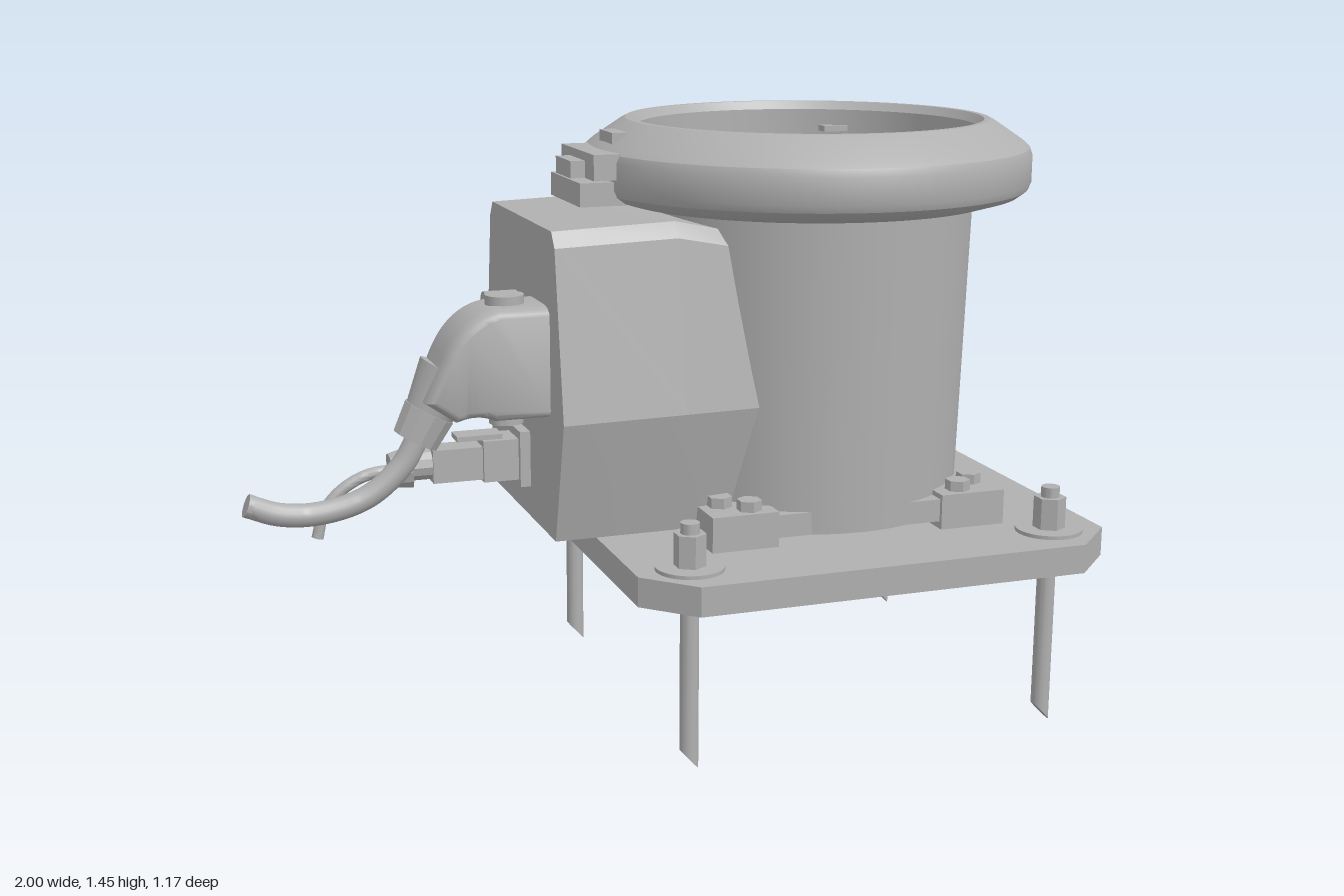
import * as THREE from 'three';
import { toCreasedNormals } from 'three/addons/utils/BufferGeometryUtils.js';

export function createModel() {
  const model = new THREE.Group();
  const grey = new THREE.MeshStandardMaterial({ color: 0xb0b0b0 });
  grey.name = 'machineGrey';
  const CX = 0.41; // column axis
  const V = (x, y, z) => new THREE.Vector3(x, y, z);

  const add = (name, geo, x = 0, y = 0, z = 0, crease = 0.5) => {
    const mesh = new THREE.Mesh(toCreasedNormals(geo, crease), grey);
    mesh.name = name;
    mesh.position.set(x, y, z);
    model.add(mesh);
    return mesh;
  };
  const box = (name, x0, x1, y0, y1, z0, z1) =>
    add(name, new THREE.BoxGeometry(x1 - x0, y1 - y0, z1 - z0), (x0 + x1) / 2, (y0 + y1) / 2, (z0 + z1) / 2);
  // cylinder from point a (radius ra) to point b (radius rb)
  const rod = (name, a, b, ra, rb = ra, sides = 24) => {
    const geo = new THREE.CylinderGeometry(rb, ra, a.distanceTo(b), sides);
    const mid = a.clone().add(b).multiplyScalar(0.5);
    const mesh = add(name, geo, mid.x, mid.y, mid.z);
    mesh.quaternion.setFromUnitVectors(V(0, 1, 0), b.clone().sub(a).normalize());
    return mesh;
  };
  // horizontal chamfered slab
  const slab = (name, cx, hx, hz, c, y0, y1) => {
    const s = new THREE.Shape([
      [-hx + c, -hz], [hx - c, -hz], [hx, -hz + c], [hx, hz - c],
      [hx - c, hz], [-hx + c, hz], [-hx, hz - c], [-hx, -hz + c],
    ].map(p => new THREE.Vector2(...p)));
    const geo = new THREE.ExtrudeGeometry(s, { depth: y1 - y0, bevelEnabled: false });
    return add(name, geo.rotateX(-Math.PI / 2), cx, y0, 0);
  };
  const lathe = (name, pts) =>
    add(name, new THREE.LatheGeometry(pts.map(p => new THREE.Vector2(...p)), 80), CX, 0, 0, 0.4);
  const cable = (name, pts, r) => {
    const curve = new THREE.CatmullRomCurve3(pts);
    add(name, new THREE.TubeGeometry(curve, 32, r, 16));
    // end disc
    const end = curve.getPoint(1), t = curve.getTangent(1);
    rod(name + 'End', end.clone().addScaledVector(t, -0.01), end.clone().addScaledVector(t, 0.002), r);
  };

  // mounting plate
  slab('mountingPlate', CX, 0.59, 0.585, 0.11, 0.415, 0.485);

  // anchor bolts with slanted tips, washers and nuts
  for (const x of [-0.05, 0.865]) for (const z of [-0.455, 0.455]) {
    const geo = new THREE.CylinderGeometry(0.022, 0.022, 0.595, 20);
    geo.translate(0, 0.2975, 0);
    const p = geo.attributes.position;
    for (let i = 0; i < p.count; i++)
      if (p.getY(i) < 0.01) p.setY(i, (0.022 - p.getX(i)) * 1.1);
    geo.computeVertexNormals();
    add('anchorRod', geo, x, 0, z);
    rod('washer', V(x, 0.485, z), V(x, 0.494, z), 0.08, 0.08, 40);
    rod('nut', V(x, 0.494, z), V(x, 0.57, z), 0.038, 0.038, 6);
  }

  // base flange with corner feet and bolts
  slab('baseFlange', CX, 0.365, 0.365, 0.06, 0.505, 0.56);
  for (const sx of [-1, 1]) for (const sz of [-1, 1]) {
    const xs = [CX + sx * 0.375, CX + sx * 0.21].sort((a, b) => a - b);
    const zs = [sz * 0.375, sz * 0.21].sort((a, b) => a - b);
    box('foot', xs[0], xs[1], 0.487, 0.572, zs[0], zs[1]);
    for (const [dx, dz] of [[0.325, 0.285], [0.27, 0.335]]) {
      const x = CX + sx * dx, z = sz * dz;
      rod('footBolt', V(x, 0.572, z), V(x, 0.597, z), 0.03, 0.03, 6);
    }
  }

  // column
  lathe('column', [[0.36, 0.5], [0.385, 0.505], [0.387, 0.6], [0.405, 1.25], [0.39, 1.27]]);

  // collar with recessed top and centre well
  lathe('collar', [
    [0.38, 1.25], [0.455, 1.25], [0.515, 1.268], [0.535, 1.283], [0.542, 1.30], [0.542, 1.362],
    [0.535, 1.38], [0.52, 1.393], [0.455, 1.437], [0.44, 1.445], [0.425, 1.445],
    [0.41, 1.425], [0.41, 1.33], [0.185, 1.33], [0.185, 1.285], [0, 1.285],
  ]);
  // latch on the collar
  box('latchLower', -0.2, -0.05, 1.265, 1.32, -0.12, 0.12);
  box('latchUpper', -0.17, -0.03, 1.325, 1.385, -0.13, 0.13);
  box('latchLip', -0.205, -0.15, 1.325, 1.365, -0.06, 0.06);
  box('latchTab', -0.1, -0.03, 1.38, 1.425, -0.05, 0.05);
  box('innerHandle', 0.6, 0.72, 1.37, 1.385, -0.36, -0.32);

  // side housing lofted from three cross-sections (half width, height)
  const half = [[0.27, 0.52], [0.345, 0.81], [0.285, 1.2], [0.26, 1.235]];
  const section = (x, w, y0, y1) => {
    const h = half.map(([z, y]) => [z * w, y0 + (y - 0.52) / 0.715 * (y1 - y0)]);
    return [...h, ...h.map(([z, y]) => [-z, y]).reverse()].map(([z, y]) => [x, y, z]);
  };
  const rings = [section(-0.31, 1, 0.52, 1.235), section(-0.02, 1, 0.52, 1.245), section(0.18, 0.9, 0.54, 1.2)];
  const pos = [];
  const n = rings[0].length;
  for (let r = 0; r < 2; r++) for (let i = 0; i < n; i++) {
    const j = (i + 1) % n, A = rings[r], B = rings[r + 1];
    pos.push(...A[i], ...B[i], ...A[j], ...A[j], ...B[i], ...B[j]);
  }
  for (let i = 1; i < n - 1; i++) {
    pos.push(...rings[0][0], ...rings[0][i], ...rings[0][i + 1]);
    pos.push(...rings[2][0], ...rings[2][i + 1], ...rings[2][i]);
  }
  const housing = new THREE.BufferGeometry();
  housing.setAttribute('position', new THREE.Float32BufferAttribute(pos, 3));
  housing.computeVertexNormals();
  add('sideHousing', housing, 0, 0, 0, 0.3);

  // large elbow connector
  const elbow = new THREE.Shape();
  elbow.moveTo(-0.31, 0.82);
  elbow.lineTo(-0.31, 1.04);
  elbow.lineTo(-0.42, 1.04);
  elbow.quadraticCurveTo(-0.49, 1.03, -0.53, 0.95);
  elbow.lineTo(-0.57, 0.86);
  elbow.lineTo(-0.52, 0.825);
  elbow.quadraticCurveTo(-0.47, 0.84, -0.43, 0.82);
  elbow.closePath();
  add('elbowBody', new THREE.ExtrudeGeometry(elbow, {
    depth: 0.1, bevelThickness: 0.045, bevelSize: 0.02, bevelSegments: 4, curveSegments: 10,
  }), 0, 0, 0.095, 0.7);
  rod('elbowCap', V(-0.39, 1.05, 0.145), V(-0.39, 1.08, 0.145), 0.045);
  rod('elbowLowerCap', V(-0.39, 0.78, 0.145), V(-0.39, 0.82, 0.145), 0.04);
  rod('elbowNeck', V(-0.52, 0.91, 0.145), V(-0.575, 0.81, 0.145), 0.075, 0.055);
  rod('elbowGland', V(-0.57, 0.82, 0.145), V(-0.605, 0.755, 0.145), 0.062, 0.055, 12);
  cable('thickCable', [
    V(-0.59, 0.78, 0.145), V(-0.635, 0.7, 0.145), V(-0.72, 0.63, 0.145),
    V(-0.83, 0.602, 0.145), V(-0.92, 0.608, 0.145), V(-0.99, 0.635, 0.145),
  ], 0.027);

  // small straight connector
  box('socketFlange', -0.335, -0.31, 0.595, 0.73, -0.06, 0.06);
  box('socketBody', -0.42, -0.335, 0.61, 0.71, -0.045, 0.045);
  box('plugBody', -0.54, -0.42, 0.615, 0.695, -0.035, 0.035);
  box('plugClip', -0.48, -0.37, 0.71, 0.722, -0.03, 0.03);
  rod('plugGland', V(-0.54, 0.655, -0.005), V(-0.59, 0.655, -0.005), 0.038, 0.038, 12);
  rod('plugNut', V(-0.59, 0.65, -0.005), V(-0.635, 0.645, -0.005), 0.05, 0.042, 12);
  cable('thinCable', [
    V(-0.62, 0.648, -0.005), V(-0.69, 0.64, -0.005), V(-0.75, 0.61, -0.005),
    V(-0.795, 0.56, -0.005), V(-0.812, 0.5, -0.005),
  ], 0.014);

  // spare port and small plug on the housing face
  rod('sparePort', V(-0.31, 1.02, -0.05), V(-0.39, 1.02, -0.05), 0.032);
  rod('smallPlug', V(-0.31, 0.9, -0.06), V(-0.325, 0.9, -0.06), 0.018);

  return model;
}
